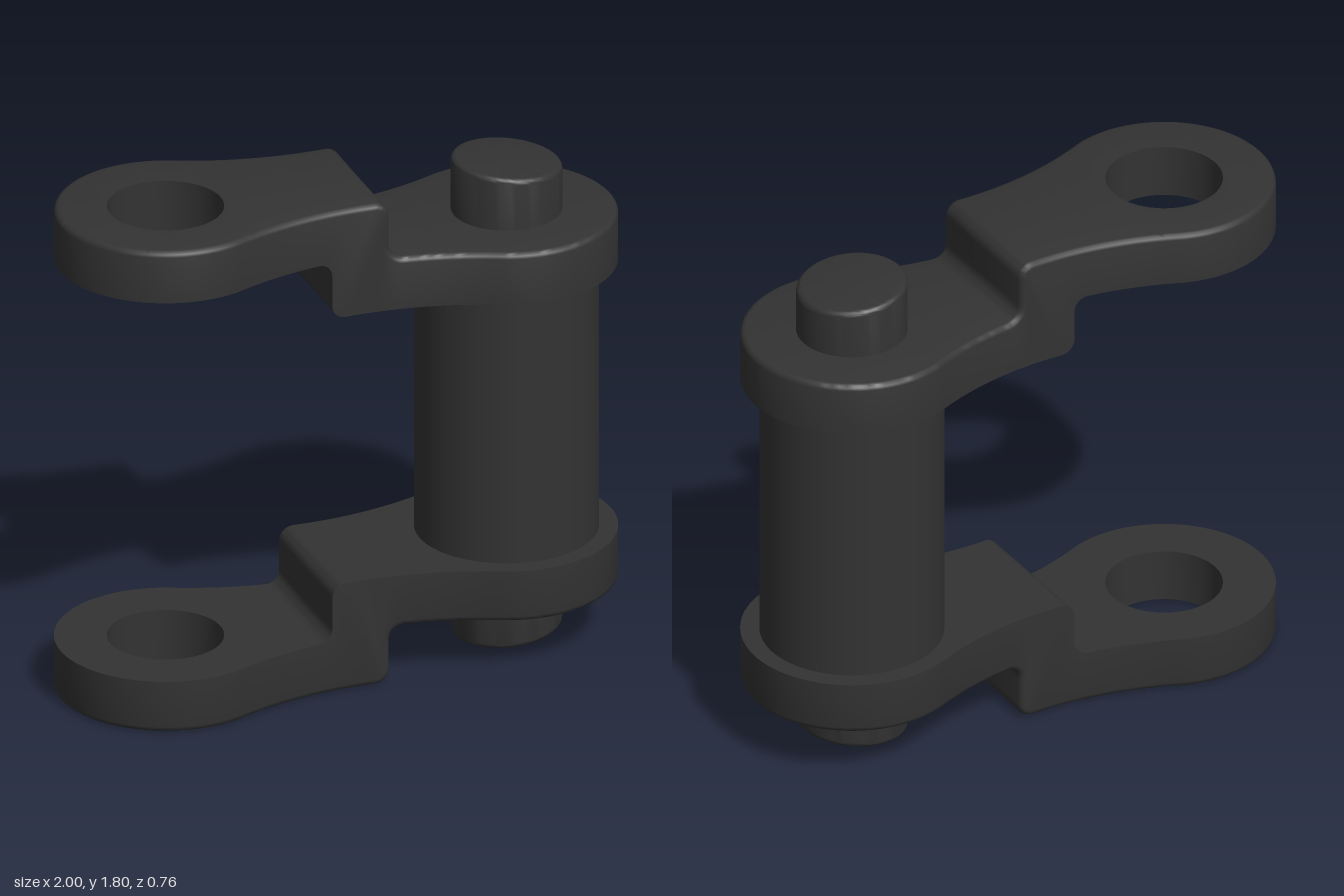
import * as THREE from 'three';
import { toCreasedNormals } from 'three/addons/utils/BufferGeometryUtils.js';

const END_X = 0.62, END_R = 0.38, HOLE_R = 0.2, WAIST = 0.25;
// Radius of the waist arc that meets both end circles tangentially
const WAIST_R = (END_X ** 2 + WAIST ** 2 - END_R ** 2) / (2 * (END_R - WAIST));
const TANGENT_X = END_X * WAIST_R / (WAIST_R + END_R);
const HEIGHT = 1.8, THICK = 0.19, DROP = 0.21, FILLET = 0.05, EDGE = 0.02;

// Half-width of the plate and its outward normal at x
function outline(x) {
  const ax = Math.abs(x);
  if (ax < TANGENT_X) {
    const rise = Math.sqrt(WAIST_R ** 2 - x * x);
    return { w: WAIST + WAIST_R - rise, nx: -x / WAIST_R, nz: rise / WAIST_R };
  }
  const dx = ax - END_X;
  const w = Math.sqrt(Math.max(0, END_R ** 2 - dx * dx));
  return { w, nx: Math.sign(x) * dx / END_R, nz: w / END_R };
}

const holeHalf = (x) => Math.sqrt(Math.max(0, HOLE_R ** 2 - (x + END_X) ** 2 - 1e-9));

// Point at length s on the stepped surface line between x = -0.2 and 0.2
function stepPoint(s, wallX, y) {
  const arc = Math.PI * FILLET / 2, flat = wallX - FILLET + 0.2, wall = DROP - 2 * FILLET;
  if (s <= flat) return { x: -0.2 + s, y, a: 0 };
  s -= flat;
  if (s <= arc) {
    const a = s / FILLET;
    return { x: wallX - FILLET + FILLET * Math.sin(a), y: y - FILLET + FILLET * Math.cos(a), a };
  }
  s -= arc;
  if (s <= wall) return { x: wallX, y: y - FILLET - s, a: Math.PI / 2 };
  s -= wall;
  if (s <= arc) {
    const a = Math.PI / 2 - s / FILLET;
    return { x: wallX + FILLET - FILLET * Math.sin(a), y: y - DROP + FILLET - FILLET * Math.cos(a), a };
  }
  return { x: wallX + FILLET + s - arc, y: y - DROP, a: 0 };
}

// Matching points on the outer and inner faces, from one end to the other
function plateStations() {
  const stations = [];
  const run = (n, fx, y) => {
    for (let i = 0; i < n; i++) {
      const x = fx(i / n);
      stations.push([{ x, y, a: 0 }, { x, y: y - THICK, a: 0 }]);
    }
  };
  run(16, (t) => -1 + 0.18 * t * t, HEIGHT);
  run(32, (t) => -END_X - HOLE_R * Math.cos(Math.PI * t), HEIGHT);
  run(12, (t) => -0.42 + 0.22 * t, HEIGHT);
  const length = 0.4 - 4 * FILLET + DROP + Math.PI * FILLET;
  for (let i = 0; i < 60; i++) {
    const s = length * i / 60;
    stations.push([stepPoint(s, 0.1, HEIGHT), stepPoint(s, -0.11, HEIGHT - THICK)]);
  }
  run(18, (t) => 0.2 + 0.42 * t, HEIGHT - DROP);
  run(25, (t) => 1 - 0.38 * (1 - t * 25 / 24) ** 2, HEIGHT - DROP);
  return stations;
}

// Cross-section of one half of the plate, with a rounded outer edge
function plateSection([top, bottom]) {
  const ring = [
    [bottom.x, bottom.y, holeHalf(bottom.x)],
    [bottom.x, bottom.y, outline(bottom.x).w],
  ];
  for (let k = 0; k <= 3; k++) {
    const phi = k * Math.PI / 6;
    const inset = EDGE * (1 - Math.cos(phi)), sink = EDGE * (1 - Math.sin(phi));
    const x = top.x - sink * Math.sin(top.a), y = top.y - sink * Math.cos(top.a);
    const o = outline(x);
    ring.push([x - inset * o.nx, y, Math.max(0, o.w - inset * o.nz)]);
  }
  ring.push([THREE.MathUtils.clamp(top.x, -1 + EDGE, 1 - EDGE), top.y, holeHalf(top.x)]);
  return ring;
}

function plateGeometry() {
  const rings = plateStations().map(plateSection);
  const pos = [];
  for (const side of [1, -1]) {
    const tri = (...p) => {
      if (side < 0) p.reverse();
      for (const [x, y, z] of p) pos.push(x, y, z * side);
    };
    for (let i = 0; i < rings.length - 1; i++) {
      const A = rings[i], B = rings[i + 1], n = A.length;
      const hasHole = A[0][2] > 0 || B[0][2] > 0;
      for (let k = 0; k < (hasHole ? n : n - 1); k++) {
        const m = (k + 1) % n;
        tri(A[k], B[k], B[m]);
        tri(A[k], B[m], A[m]);
      }
    }
  }
  const g = new THREE.BufferGeometry();
  g.setAttribute('position', new THREE.Float32BufferAttribute(pos, 3));
  return toCreasedNormals(g, 0.6);
}

// Pin end with a rounded rim and a slanted face
function pinGeometry() {
  const r = 0.19, top = 1.775, pts = [new THREE.Vector2(r, 1.5)];
  for (let k = 0; k <= 5; k++) {
    const a = k * Math.PI / 10;
    pts.push(new THREE.Vector2(r - EDGE + EDGE * Math.cos(a), top - EDGE + EDGE * Math.sin(a)));
  }
  pts.push(new THREE.Vector2(0, top));
  const g = new THREE.LatheGeometry(pts, 64);
  const p = g.attributes.position;
  for (let i = 0; i < p.count; i++) {
    if (p.getY(i) > 1.7) p.setY(i, p.getY(i) - 0.095 * p.getX(i));
  }
  return toCreasedNormals(g.toNonIndexed(), 0.6);
}

export function createModel() {
  const model = new THREE.Group();
  model.name = 'chainLink';
  const material = new THREE.MeshStandardMaterial({ color: 0x333333 });
  const add = (parent, name, geometry, x = 0, y = 0) => {
    const mesh = new THREE.Mesh(geometry, material);
    mesh.name = name;
    mesh.position.set(x, y, 0);
    parent.add(mesh);
  };

  // Upper and lower halves: the lower one is turned over
  const plate = plateGeometry(), pin = pinGeometry();
  for (const name of ['upperSide', 'lowerSide']) {
    const half = new THREE.Group();
    half.name = name;
    add(half, 'sidePlate', plate);
    add(half, 'pinEnd', pin, END_X);
    if (name === 'lowerSide') {
      half.rotation.x = Math.PI;
      half.position.y = HEIGHT;
    }
    model.add(half);
  }

  // Barrel between the plates
  const barrelHeight = HEIGHT - 2 * (THICK + DROP) + 0.03;
  add(model, 'barrel', new THREE.CylinderGeometry(0.315, 0.315, barrelHeight, 64), END_X, HEIGHT / 2);
  return model;
}
